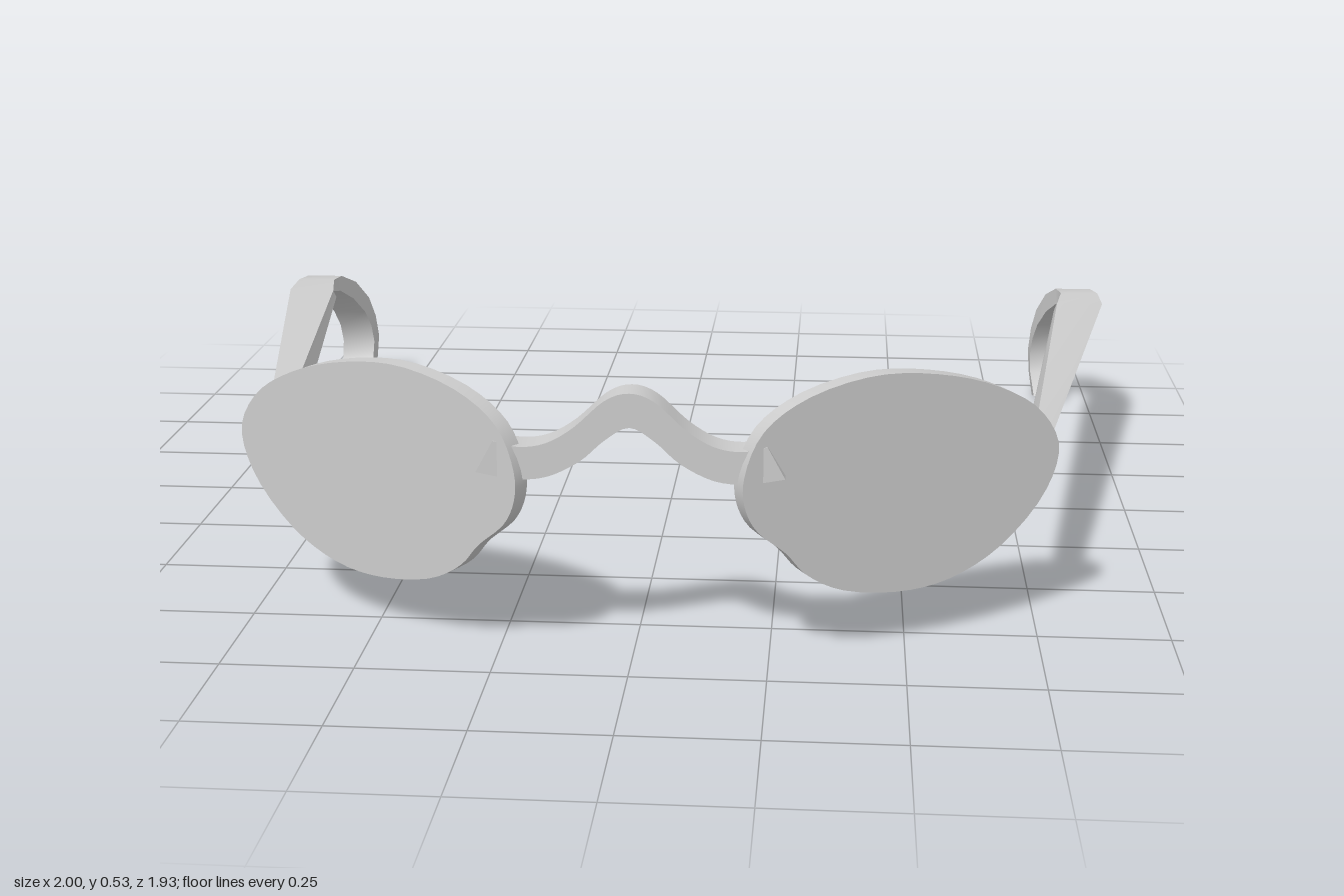
import * as THREE from 'three';
import { toCreasedNormals } from 'three/addons/utils/BufferGeometryUtils.js';

const material = new THREE.MeshStandardMaterial({ color: 0xcccccc });
const vec = (p) => new THREE.Vector2(p[0], p[1]);

function part(name, geometry, crease = 0.6) {
  const mesh = new THREE.Mesh(toCreasedNormals(geometry, crease), material);
  mesh.name = name;
  return mesh;
}

// Lens outline as it appears from straight ahead, before being swept back
const LENS = [
  [0.205, 0.37], [0.235, 0.445], [0.305, 0.497], [0.43, 0.527], [0.55, 0.515], [0.66, 0.478],
  [0.745, 0.42], [0.784, 0.345], [0.762, 0.26], [0.68, 0.165], [0.59, 0.117], [0.5, 0.105],
  [0.38, 0.128], [0.315, 0.17], [0.28, 0.215], [0.225, 0.27], [0.205, 0.32],
];
const SWEEP = 0.502, THICK = 0.035, INNER_X = 0.205;

function lens(side) {
  const curve = new THREE.CatmullRomCurve3(
    LENS.map(([x, y]) => new THREE.Vector3(side * (x - INNER_X) / Math.cos(SWEEP), y, 0)), true);
  const shape = new THREE.Shape(curve.getPoints(64).slice(0, -1).map((p) => new THREE.Vector2(p.x, p.y)));
  const geo = new THREE.ExtrudeGeometry(shape, { depth: THICK, bevelEnabled: false });
  geo.translate(0, 0, -THICK).rotateY(side * SWEEP).translate(side * INNER_X, 0, 0.965);
  return part(side > 0 ? 'leftLens' : 'rightLens', geo);
}

// Arched nose bridge whose ends pass into the lenses
function bridge() {
  const arc = (half) => {
    const left = half.slice(1).reverse().map(([x, y]) => [-x, y]);
    return new THREE.SplineCurve([...left, ...half].map(vec)).getPoints(40);
  };
  const top = arc([[0, 0.515], [0.045, 0.5], [0.1, 0.45], [0.15, 0.42], [0.2, 0.412], [0.245, 0.422]]);
  const bottom = arc([[0, 0.452], [0.045, 0.427], [0.09, 0.387], [0.15, 0.357], [0.21, 0.352], [0.277, 0.363]]);
  const shape = new THREE.Shape([...top, ...bottom.reverse()]);
  const geo = new THREE.ExtrudeGeometry(shape, { depth: 0.062, bevelEnabled: false });
  return part('noseBridge', geo.translate(0, 0, 0.885));
}

// Skin four-cornered cross-sections (front to back) and cap both ends
function loft(rings) {
  const index = [], n = rings.length;
  for (let k = 0; k < n - 1; k++) {
    for (let i = 0; i < 4; i++) {
      const a = k * 4 + i, b = k * 4 + (i + 1) % 4;
      index.push(a, a + 4, b, b, a + 4, b + 4);
    }
  }
  const e = (n - 1) * 4;
  index.push(0, 1, 2, 0, 2, 3, e, e + 2, e + 1, e, e + 3, e + 2);
  const geo = new THREE.BufferGeometry();
  geo.setAttribute('position', new THREE.Float32BufferAttribute(rings.flat(2), 3));
  geo.setIndex(index);
  return geo;
}

// Ear hook sections: upper z, y / lower z, y / inner x, outer x
const HOOK = [
  [-0.69, 0.325, -0.68, 0.298, 0.908, 0.997],
  [-0.74, 0.324, -0.72, 0.29, 0.9, 0.985],
  [-0.83, 0.288, -0.795, 0.252, 0.884, 0.966],
  [-0.915, 0.226, -0.863, 0.2, 0.87, 0.952],
  [-0.952, 0.168, -0.895, 0.155, 0.862, 0.944],
  [-0.966, 0.11, -0.905, 0.11, 0.858, 0.94],
  [-0.95, 0.058, -0.892, 0.065, 0.86, 0.94],
  [-0.912, 0, -0.852, 0.014, 0.868, 0.945],
];

function temple(side) {
  // Straight arm twists from a steep strip at the lens to a flat one at the ear
  const rings = [
    [[0.705, 0.247, 0.64], [0.722, 0.242, 0.64], [0.75, 0.297, 0.64], [0.73, 0.302, 0.64]],
    [[0.885, 0.3, -0.61], [0.985, 0.297, -0.61], [1, 0.318, -0.61], [0.892, 0.317, -0.61]],
    ...HOOK.map(([tz, ty, bz, by, xi, xo]) => [[xi, by, bz], [xo, by, bz], [xo, ty, tz], [xi, ty, tz]]),
  ].map((ring) => {
    const r = ring.map(([x, y, z]) => [side * x, y, z]);
    return side > 0 ? r : r.reverse();
  });
  return part(side > 0 ? 'leftTemple' : 'rightTemple', loft(rings));
}

export function createModel() {
  const group = new THREE.Group();
  group.name = 'spectacles';
  group.add(bridge());
  for (const side of [1, -1]) group.add(lens(side), temple(side));
  return group;
}
